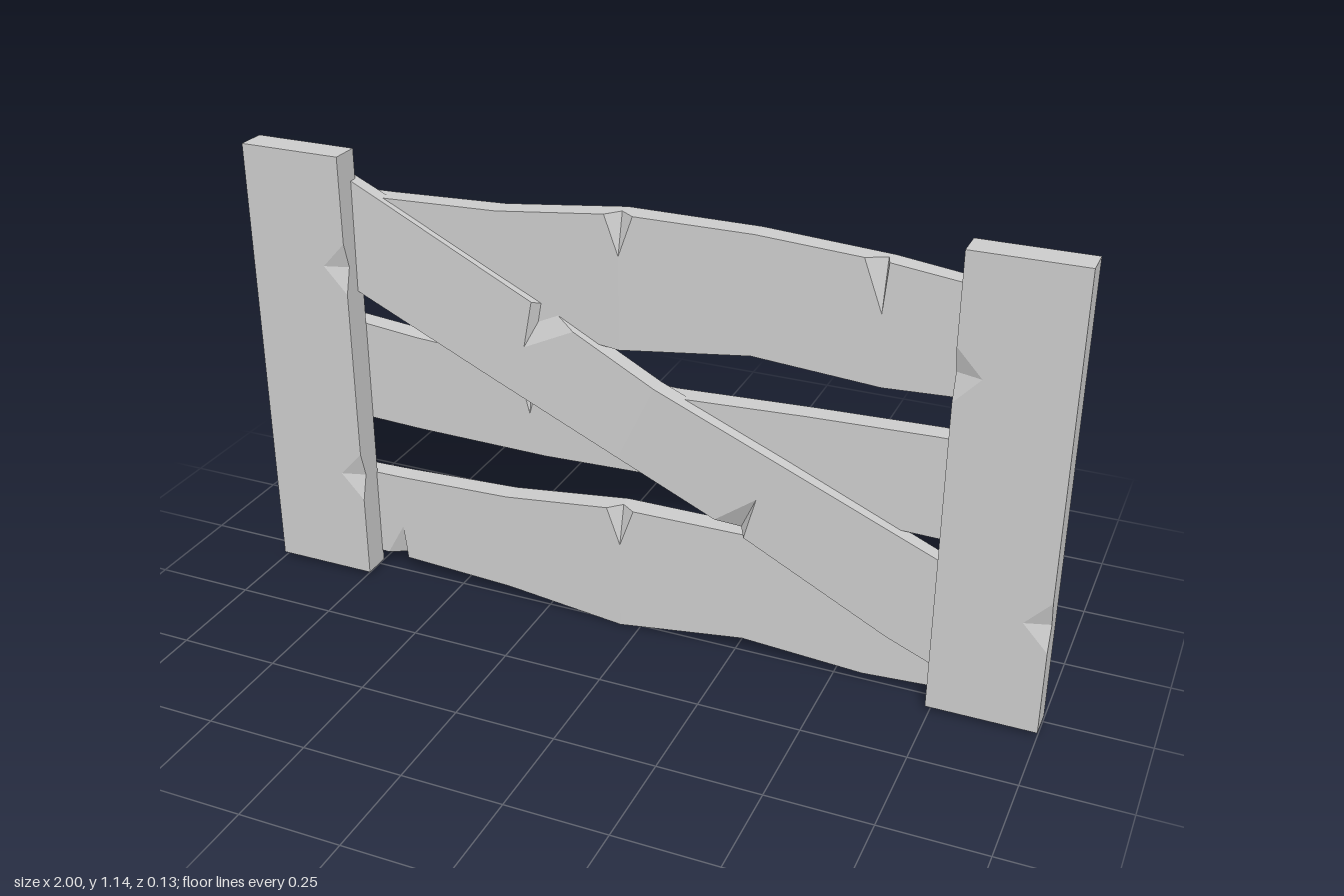
import * as THREE from 'three';

const material = new THREE.MeshStandardMaterial({ color: 0xcccccc, flatShading: true });

// Piecewise linear lookup in rows sorted by their first column.
function sample(rows, t, col) {
  let i = 1;
  while (i < rows.length - 1 && t > rows[i][0]) i++;
  const a = rows[i - 1], b = rows[i];
  return THREE.MathUtils.lerp(a[col], b[col], (t - a[0]) / (b[0] - a[0]));
}

// A board along x. Rows are [x, upper y, lower y, front z, back z].
// Chips cut a wedge from a front edge: { x, w, edge: 'hi' | 'lo', depth, cut }.
function board(name, rows, chips = []) {
  const stations = rows.map((r) => r[0]);
  for (const c of chips) stations.push(c.x - c.w, c.x, c.x + c.w);
  stations.sort((a, b) => a - b);
  const ts = stations.filter((t, i) => i === 0 || t - stations[i - 1] > 1e-4);

  // Six-point section; the paired front corners split apart only at a chip.
  const sections = ts.map((t) => {
    const [hi, lo, zf, zb] = [1, 2, 3, 4].map((c) => sample(rows, t, c));
    const amount = (edge) => chips.find((c) => c.edge === edge && Math.abs(c.x - t) < 1e-4) || { depth: 0, cut: 0 };
    const top = amount('hi'), bottom = amount('lo');
    return [
      [lo, zb], [lo, zf - bottom.cut], [lo + bottom.depth, zf],
      [hi - top.depth, zf], [hi, zf - top.cut], [hi, zb],
    ].map(([y, z]) => new THREE.Vector3(t, y, z));
  });

  const positions = [];
  const triangle = (a, b, c) => {
    const area = b.clone().sub(a).cross(c.clone().sub(a)).length();
    if (area > 1e-8) for (const p of [a, b, c]) positions.push(p.x, p.y, p.z);
  };
  for (let i = 0; i < sections.length - 1; i++) {
    const a = sections[i], b = sections[i + 1];
    for (let j = 0; j < 6; j++) {
      const k = (j + 1) % 6;
      triangle(a[j], b[j], b[k]);
      triangle(a[j], b[k], a[k]);
    }
  }
  // End caps
  const first = sections[0], last = sections[sections.length - 1];
  for (let j = 1; j < 5; j++) {
    triangle(first[0], first[j], first[j + 1]);
    triangle(last[0], last[j + 1], last[j]);
  }

  const geometry = new THREE.BufferGeometry();
  geometry.setAttribute('position', new THREE.Float32BufferAttribute(positions, 3));
  geometry.computeVertexNormals();
  const mesh = new THREE.Mesh(geometry, material);
  mesh.name = name;
  return mesh;
}

export function createModel() {
  const group = new THREE.Group();
  group.name = 'fenceSection';

  // Upright posts, drawn lying down and turned upright
  const post = (name, hi, lo, chips) => {
    const mesh = board(name, [[0.015, hi, lo, 0.065, -0.007], [1.14, hi, lo, 0.065, -0.007]], chips);
    mesh.rotation.z = Math.PI / 2;
    group.add(mesh);
  };
  const postChip = (x, edge) => ({ x, edge, w: 0.065, depth: 0.06, cut: 0.018 });
  post('rightPost', 1, 0.74, [postChip(0.86, 'lo'), postChip(0.295, 'lo')]);
  post('leftPost', -0.74, -1, [postChip(0.86, 'hi'), postChip(0.295, 'lo')]);

  // Upper and lower rails share one warped outline
  const railRows = [
    [-0.97, 0.27, 0.05, -0.012, -0.055],
    [-0.66, 0.28, 0.043, 0, -0.05],
    [-0.36, 0.295, 0.035, 0.01, -0.045],
    [-0.05, 0.333, 0.003, 0.015, -0.042],
    [0.27, 0.333, 0.045, 0.012, -0.042],
    [0.57, 0.312, 0.02, 0.003, -0.048],
    [0.88, 0.27, 0.03, -0.01, -0.055],
  ];
  const middleNick = { x: -0.05, w: 0.035, edge: 'hi', depth: 0.1, cut: 0.025 };
  const lowerRail = board('lowerRail', railRows, [
    middleNick,
    { x: -0.67, w: 0.05, edge: 'lo', depth: 0.09, cut: 0.03 },
  ]);
  const upperRail = board('upperRail', railRows, [
    middleNick,
    { x: 0.56, w: 0.045, edge: 'hi', depth: 0.12, cut: 0.03 },
  ]);
  upperRail.position.y = 0.75;

  // Middle rail
  const middleRail = board('middleRail', [
    [-0.92, 0.705, 0.435, -0.015, -0.063],
    [-0.6, 0.68, 0.43, -0.004, -0.056],
    [-0.25, 0.665, 0.43, 0.004, -0.05],
    [0.07, 0.652, 0.442, 0.006, -0.048],
    [0.4, 0.665, 0.43, 0, -0.052],
    [0.7, 0.672, 0.42, -0.006, -0.058],
    [0.985, 0.672, 0.41, -0.012, -0.06],
  ], [{ x: -0.29, w: 0.035, edge: 'hi', depth: 0.13, cut: 0.025 }]);

  // Diagonal brace in front of the rails
  const brace = board('diagonalBrace', [
    [-0.98, 0.125, -0.122, 0.008, -0.022],
    [-0.75, 0.127, -0.126, 0.018, -0.02],
    [-0.35, 0.127, -0.114, 0.032, -0.012],
    [0, 0.112, -0.105, 0.038, -0.008],
    [0.35, 0.122, -0.104, 0.032, -0.012],
    [0.75, 0.128, -0.128, 0.018, -0.02],
    [0.98, 0.122, -0.125, 0.008, -0.024],
  ], [
    { x: -0.32, w: 0.09, edge: 'hi', depth: 0.115, cut: 0.035 },
    { x: 0.33, w: 0.06, edge: 'lo', depth: 0.11, cut: 0.035 },
  ]);
  brace.position.y = 0.58;
  brace.rotation.z = -0.4377;

  group.add(lowerRail, upperRail, middleRail, brace);
  return group;
}
